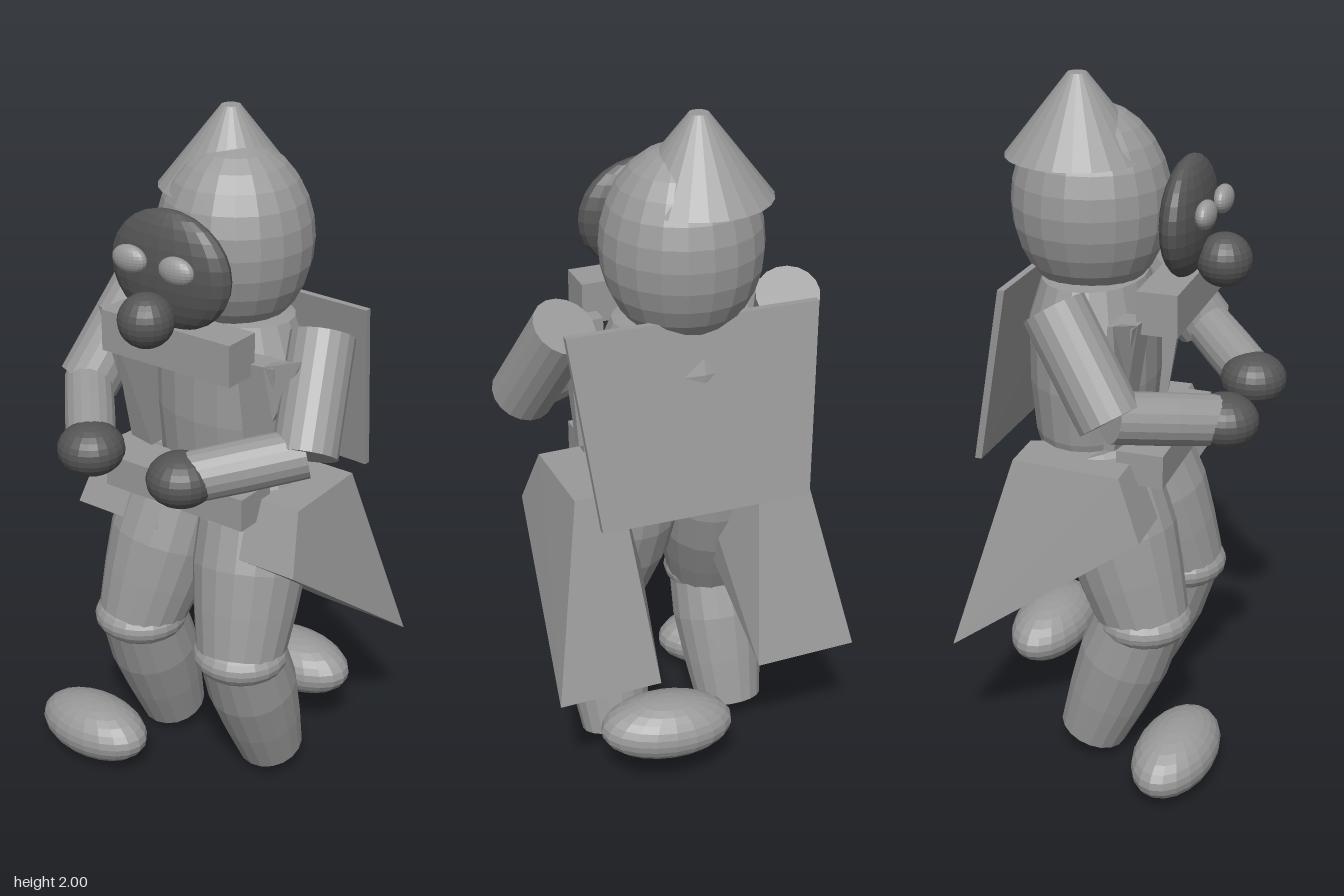
import * as THREE from 'three';
import { ConvexGeometry } from 'three/addons/geometries/ConvexGeometry.js';

const V = (x, y, z) => new THREE.Vector3(x, y, z);

export function createModel() {
  const model = new THREE.Group();
  const grey = new THREE.MeshStandardMaterial({ color: 0x999999 });
  grey.name = 'grey';
  const dark = new THREE.MeshStandardMaterial({ color: 0x555555 });
  dark.name = 'darkGrey';

  // faceted mesh
  function add(name, geometry, material = grey) {
    const g = geometry.index ? geometry.toNonIndexed() : geometry;
    g.computeVertexNormals();
    const mesh = new THREE.Mesh(g, material);
    mesh.name = name;
    model.add(mesh);
    return mesh;
  }
  function ellipsoid(name, pos, radii, material) {
    const g = new THREE.SphereGeometry(1, 20, 14).scale(...radii);
    const mesh = add(name, g, material);
    mesh.position.set(...pos);
    return mesh;
  }
  // turned limb from a to b; radii are spaced evenly along it
  function limb(name, a, b, radii) {
    const len = a.distanceTo(b);
    const pts = [new THREE.Vector2(0, 0)];
    radii.forEach((r, i) => pts.push(new THREE.Vector2(r, (len * i) / (radii.length - 1))));
    pts.push(new THREE.Vector2(0, len));
    const mesh = add(name, new THREE.LatheGeometry(pts, 18));
    mesh.position.copy(a);
    mesh.quaternion.setFromUnitVectors(V(0, 1, 0), b.clone().sub(a).normalize());
  }
  function box(name, x0, x1, y0, y1, z0, z1) {
    const mesh = add(name, new THREE.BoxGeometry(x1 - x0, y1 - y0, z1 - z0));
    mesh.position.set((x0 + x1) / 2, (y0 + y1) / 2, (z0 + z1) / 2);
  }
  const solid = (name, corners) => add(name, new ConvexGeometry(corners.map((c) => V(...c))));

  // head, hat and mask
  ellipsoid('head', [0, 1.645, -0.12], [0.222, 0.272, 0.222]);
  const hat = add('hat', new THREE.CylinderGeometry(0.027, 0.2, 0.22, 24));
  hat.position.set(-0.035, 1.89, -0.145);
  ellipsoid('mask', [-0.005, 1.628, 0.16], [0.196, 0.165, 0.062], dark);
  ellipsoid('nose', [-0.01, 1.515, 0.262], [0.078, 0.075, 0.077], dark);
  ellipsoid('rightEye', [-0.088, 1.66, 0.23], [0.055, 0.039, 0.027]);
  ellipsoid('leftEye', [0.07, 1.66, 0.234], [0.055, 0.039, 0.027]);

  // torso, collar and belt
  const profile = [[0, 0.9], [0.8, 0.9], [0.93, 1.0], [1, 1.15], [1, 1.33], [0.8, 1.44], [0, 1.47]];
  const torso = add('torso', new THREE.LatheGeometry(profile.map((p) => new THREE.Vector2(...p)), 20)
    .scale(0.24, 1, 0.18));
  torso.position.set(0, 0, -0.11);
  box('collar', -0.222, 0.212, 1.355, 1.475, 0.08, 0.195);
  box('belt', -0.245, 0.235, 0.918, 1.015, 0.03, 0.165);

  // cape
  const cape = [];
  for (const d of [0, 0.02]) {
    cape.push([-0.34, 1.48, -0.265 + d], [0.37, 1.48, -0.24 + d],
      [0.32, 0.95, -0.355 + d], [-0.28, 0.95, -0.375 + d]);
  }
  solid('cape', cape);

  for (const s of [1, -1]) {
    const side = s > 0 ? 'left' : 'right';
    const dz = s > 0 ? 0.015 : -0.015;
    const dx = 0.015;

    // vest panel with a flared shoulder point
    solid(side + 'VestPanel', [
      [s * 0.17, 1.39, 0.105], [s * 0.28, 1.39, 0.09], [s * 0.17, 1.02, 0.05], [s * 0.26, 1.02, 0.03],
      [s * 0.17, 1.39, 0.03], [s * 0.28, 1.39, 0.02], [s * 0.17, 1.02, 0.0], [s * 0.26, 1.02, 0.0],
    ]);
    solid(side + 'VestPoint', [
      [s * 0.25, 1.39, 0.095], [s * 0.35, 1.42, 0.06], [s * 0.27, 1.23, 0.075],
      [s * 0.25, 1.39, 0.05], [s * 0.27, 1.23, 0.04],
    ]);

    // skirt flap with a bottom that slopes down towards the back
    solid(side + 'SkirtFlap', [
      [s * 0.1 + dx, 0.98, 0.07], [s * 0.35 + dx * 0.5, 0.98, 0.07],
      [s * 0.2 + dx, 0.98, -0.23 + dz], [s * 0.335 + dx, 0.98, -0.23 + dz],
      [s * 0.1 + dx, 0.81, 0.14], [s * 0.385 + dx * 0.5, 0.81, 0.14],
      [s * 0.145 + dx, 0.425, -0.385 + dz], [s * 0.445 + dx, 0.425, -0.385 + dz],
    ]);

    // arm
    const shoulder = V(s * 0.32, 1.44, -0.1 + dz);
    const elbow = V(s * 0.39, 1.17, 0.08 + dz);
    const hand = V(s > 0 ? 0.143 : -0.17, 1.115, 0.315);
    limb(side + 'UpperArm', shoulder, elbow, [0.09, 0.09]);
    limb(side + 'Forearm', V(s * 0.39, 1.18, 0.08 + dz), hand, [0.07, 0.072, 0.07]);
    ellipsoid(side + 'Hand', hand.toArray(), [0.095, 0.075, 0.095], dark);

    // leg
    const knee = V(s * 0.185, 0.47, 0.095);
    limb(side + 'Thigh', V(s * 0.125, 0.96, -0.07), knee, [0.13, 0.16, 0.165, 0.15, 0.13]);
    ellipsoid(side + 'Knee', knee.toArray(), [0.14, 0.075, 0.137]);
    limb(side + 'Shin', V(s * 0.185, 0.47, 0.085), V(s * 0.188, 0.068, -0.062), [0.128, 0.134, 0.12, 0.1]);
  }

  // feet
  ellipsoid('rightFoot', [-0.275, 0.095, 0.222], [0.197, 0.092, 0.115]).rotation.set(0, -0.1, 0.05);
  ellipsoid('leftFoot', [0.115, 0.218, -0.3], [0.197, 0.092, 0.115]).rotation.set(0, -0.1, 0.05);

  return model;
}
